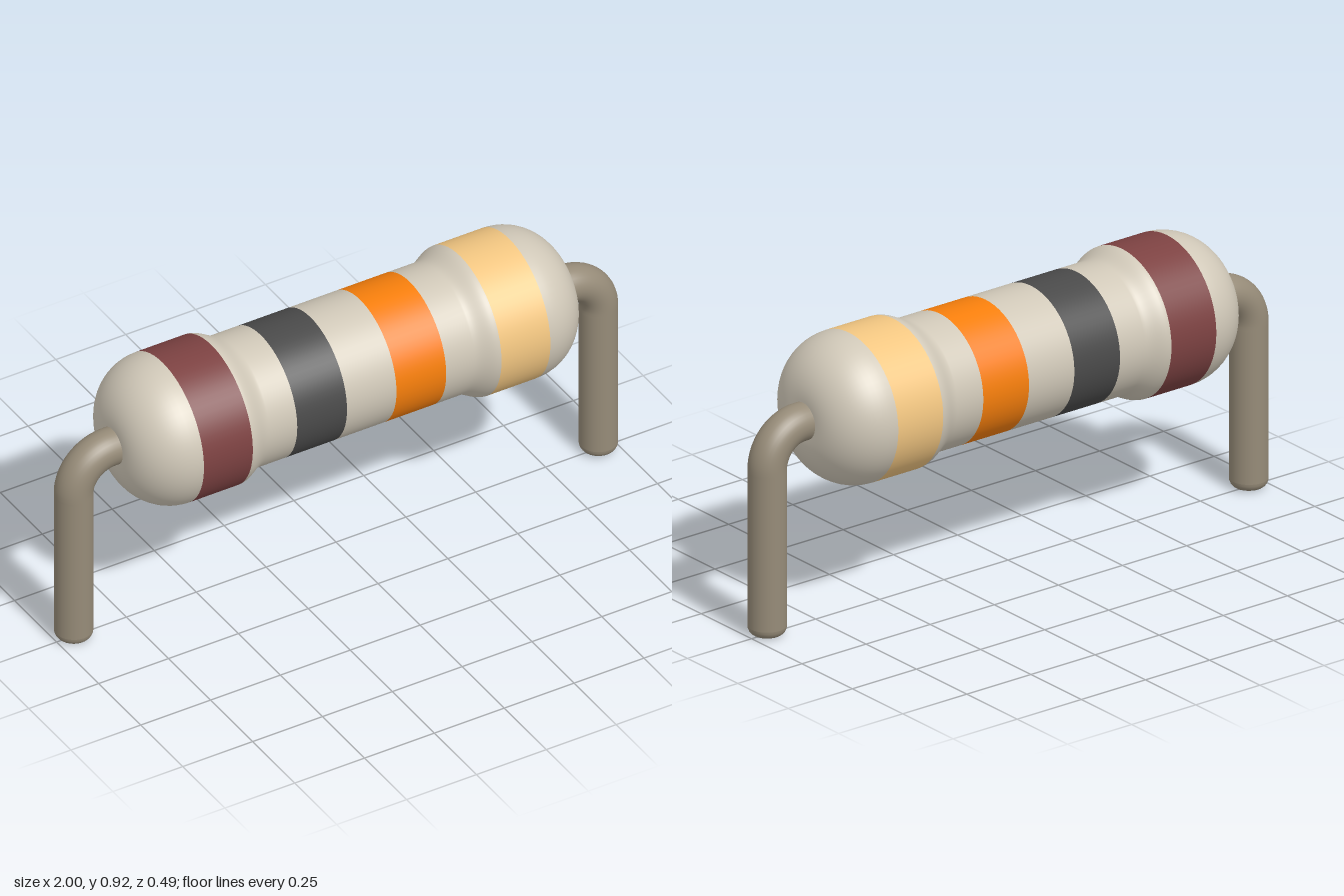
import * as THREE from 'three';

const AXIS_Y = 0.675, R_END = 0.245, R_MID = 0.215;
const WIRE_R = 0.061, LEG_X = 0.939, BEND = 0.125;

// Body radius at a distance along the axis: domed tip, bulging cap, S-curve, waist
function bodyRadius(x) {
  const a = Math.abs(x);
  if (a > 0.62) return R_END - 0.18 + Math.sqrt(Math.max(0, 0.18 ** 2 - (a - 0.62) ** 2));
  const t = THREE.MathUtils.smoothstep(a, 0.365, 0.445);
  return R_MID + (R_END - R_MID) * t;
}

function material(color) {
  return new THREE.MeshStandardMaterial({ color });
}

// One turned slice of the body through the given positions along x
function slice(name, xs, color) {
  const points = xs.map((x) => new THREE.Vector2(bodyRadius(x), x));
  if (xs[0] <= -0.8) points.unshift(new THREE.Vector2(0, -0.8));
  if (xs[xs.length - 1] >= 0.8) points.push(new THREE.Vector2(0, 0.8));
  const mesh = new THREE.Mesh(new THREE.LatheGeometry(points, 64), material(color));
  mesh.name = name;
  mesh.rotation.z = -Math.PI / 2;
  mesh.position.y = AXIS_Y;
  return mesh;
}

function range(a, b, n) {
  return Array.from({ length: n + 1 }, (_, i) => a + ((b - a) * i) / n);
}

// Bent wire leg with a rounded foot, on the given side
function wireLeg(name, side) {
  const leg = new THREE.Group();
  leg.name = name;
  const mat = material(0x968b78);
  const top = AXIS_Y - 0.002;
  const v = (x, y) => new THREE.Vector3(side * x, y, 0);
  const points = [v(0.72, top), v(LEG_X - BEND - 0.01, top)];
  for (const a of range(0, Math.PI / 2, 16)) {
    points.push(v(LEG_X - BEND + BEND * Math.sin(a), top - BEND + BEND * Math.cos(a)));
  }
  points.push(v(LEG_X, top - BEND - 0.01), v(LEG_X, 0.3), v(LEG_X, 0.03));
  const path = new THREE.CatmullRomCurve3(points, false, 'centripetal');
  const wire = new THREE.Mesh(new THREE.TubeGeometry(path, 120, WIRE_R, 32), mat);
  wire.name = 'bentWire';

  const b = 0.03;
  const profile = [new THREE.Vector2(0, 0)];
  for (const a of range(0, Math.PI / 2, 6)) {
    profile.push(new THREE.Vector2(WIRE_R - b + b * Math.sin(a), b - b * Math.cos(a)));
  }
  const foot = new THREE.Mesh(new THREE.LatheGeometry(profile, 32), mat);
  foot.name = 'wireFoot';
  foot.position.x = side * LEG_X;
  leg.add(wire, foot);
  return leg;
}

export function createModel() {
  const model = new THREE.Group();
  model.name = 'resistor';
  const beige = 0xd0c8b8;

  // Domed tips, sampled by angle for an even curve
  const dome = range(0, Math.PI / 2, 16).map((a) => 0.62 + 0.18 * Math.sin(a));
  model.add(
    slice('rightTip', dome.map((x) => -x).reverse(), beige),
    slice('leftTip', dome, beige),
  );

  // Body between the bands
  model.add(
    slice('rightShoulder', [...range(-0.445, -0.365, 12), -0.268], beige),
    slice('rightWaist', [-0.09, 0.087], beige),
    slice('leftShoulder', [0.265, ...range(0.365, 0.445, 12)], beige),
  );

  // Colour bands
  model.add(
    slice('brownBand', [-0.62, -0.445], 0x7d4242),
    slice('blackBand', [-0.268, -0.09], 0x4a4a4a),
    slice('orangeBand', [0.087, 0.265], 0xf77f0c),
    slice('goldBand', [0.445, 0.62], 0xf2c681),
  );

  // Wire legs
  model.add(wireLeg('rightLeg', -1), wireLeg('leftLeg', 1));
  return model;
}
